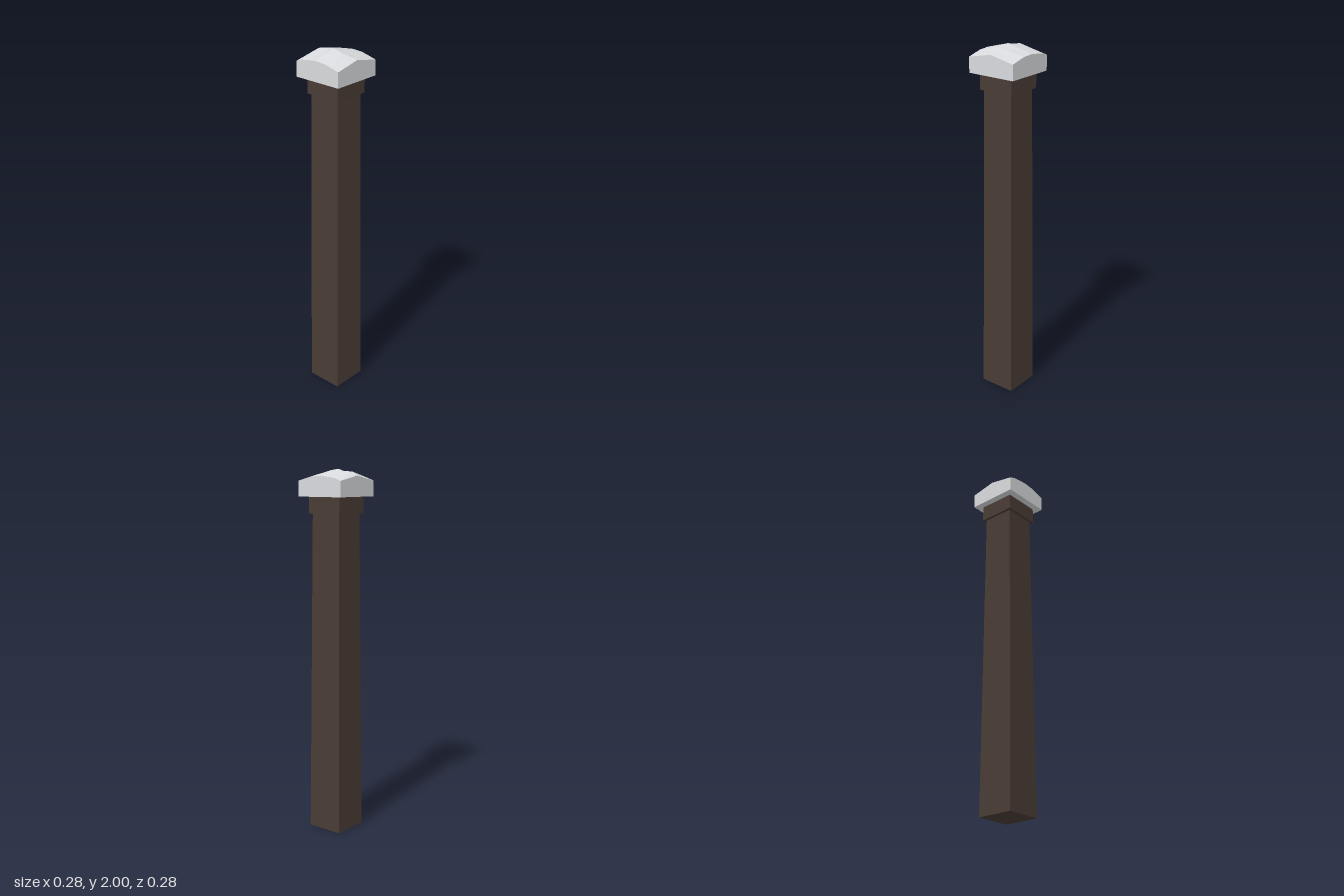
import * as THREE from 'three';

export function createModel() {
  const group = new THREE.Group();
  group.name = 'post';
  const wood = new THREE.MeshStandardMaterial({ color: 0x4a3c36, flatShading: true });
  wood.name = 'dark wood';
  const snow = new THREE.MeshStandardMaterial({ color: 0xd8dadd, flatShading: true });
  snow.name = 'pale grey';

  const add = (name, geometry, material, y) => {
    const mesh = new THREE.Mesh(geometry, material);
    mesh.name = name;
    mesh.position.y = y;
    group.add(mesh);
  };

  // Tapered square shaft
  const shaft = new THREE.CylinderGeometry(0.089 * Math.SQRT2, 0.104 * Math.SQRT2, 1.765, 4);
  shaft.rotateY(Math.PI / 4);
  add('shaft', shaft, wood, 1.765 / 2);

  // Square collar under the cap
  add('collar', new THREE.BoxGeometry(0.208, 0.09, 0.208), wood, 1.81);

  // Cap: a box whose top is raised into an uneven ridge
  // Stations along x: [x, edge height, ridge height, ridge z]
  const stations = [
    [-0.142, 0.083, 0.11, 0],
    [-0.105, 0.097, 0.13, 0.006],
    [-0.053, 0.104, 0.135, -0.013],
    [-0.01, 0.109, 0.145, 0.008],
    [0.053, 0.105, 0.138, 0.022],
    [0.1, 0.094, 0.124, 0.01],
    [0.142, 0.083, 0.113, 0],
  ];
  const size = 0.284;
  const cap = new THREE.BoxGeometry(size, 1, size, 2, 1, 6);
  cap.rotateY(Math.PI / 2);
  const p = cap.attributes.position;
  for (let i = 0; i < p.count; i++) {
    const [x, edge, ridge, ridgeZ] = stations[Math.round((p.getX(i) / size + 0.5) * 6)];
    const onRidge = Math.abs(p.getZ(i)) < 0.01;
    const top = p.getY(i) > 0;
    p.setXYZ(i, x, top ? (onRidge ? ridge : edge) : 0, top && onRidge ? ridgeZ : p.getZ(i));
  }
  cap.computeVertexNormals();
  add('cap', cap, snow, 1.855);

  return group;
}
